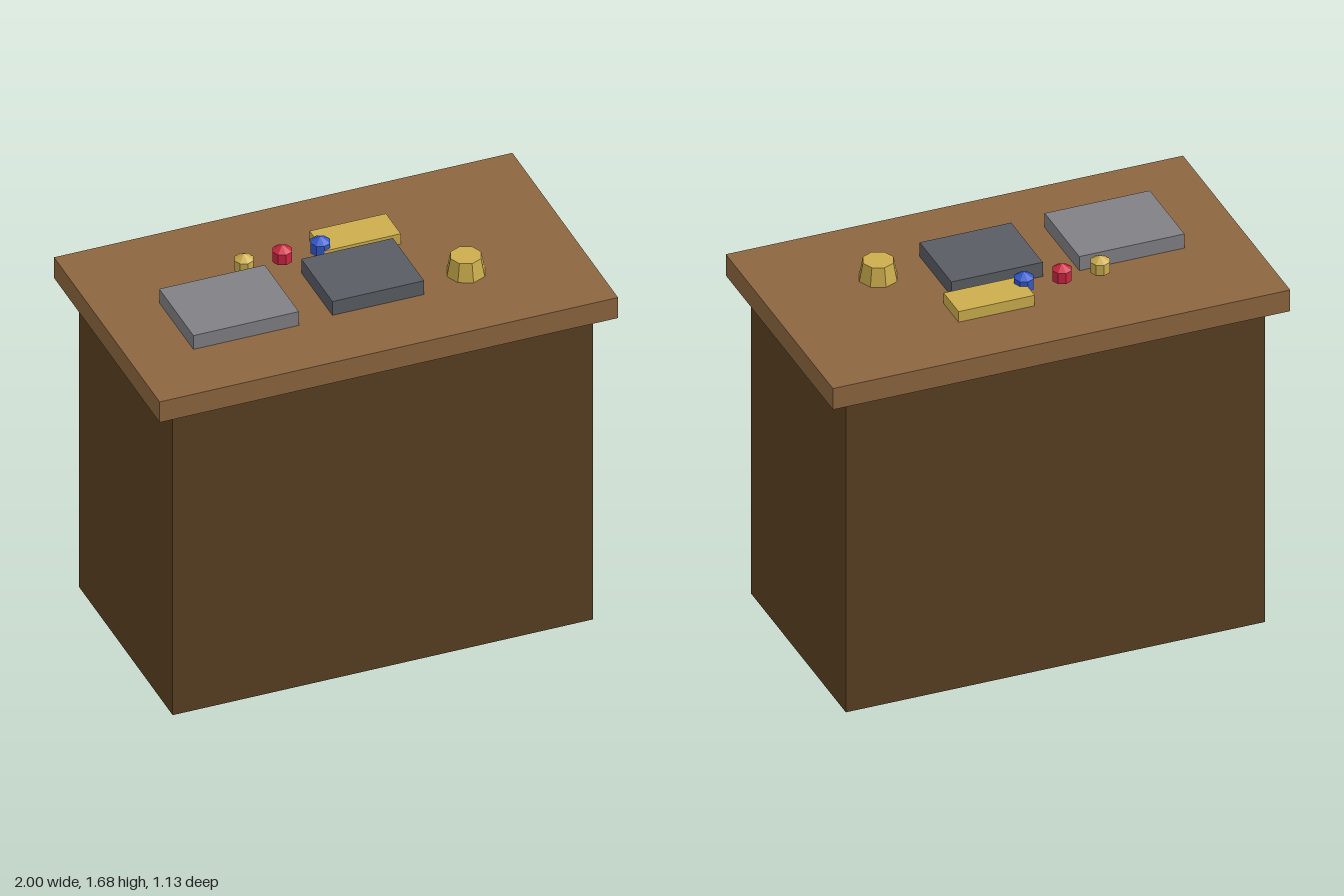
import * as THREE from 'three';

const paint = (name, color) => {
  const m = new THREE.MeshStandardMaterial({ color, flatShading: true });
  m.name = name;
  return m;
};

export function createModel() {
  const model = new THREE.Group();
  model.name = 'displayCounter';

  const darkWood = paint('darkWood', 0x594021);
  const lightWood = paint('lightWood', 0x8c6640);
  const lightGrey = paint('lightGrey', 0x808085);
  const darkGrey = paint('darkGrey', 0x595c63);
  const gold = paint('gold', 0xccad4d);
  const red = paint('red', 0xcc2640);
  const blue = paint('blue', 0x3359cc);

  const add = (name, geometry, material, x, y, z) => {
    const mesh = new THREE.Mesh(geometry, material);
    mesh.name = name;
    mesh.position.set(x, y, z);
    model.add(mesh);
  };
  // Box standing on height y
  const box = (name, material, w, h, d, x, y, z) =>
    add(name, new THREE.BoxGeometry(w, h, d), material, x, y + h / 2, z);

  const bodyTop = 1.487;
  const surface = 1.587;

  // Counter
  box('counterBody', darkWood, 1.833, bodyTop, 1, 0, 0, 0);
  box('counterTop', lightWood, 2, surface - bodyTop, 1.13, 0, bodyTop, 0);

  // Slabs and bar lying on the counter
  box('lightSlab', lightGrey, 0.46, 0.067, 0.365, -0.5, surface, 0.082);
  box('darkSlab', darkGrey, 0.4, 0.067, 0.333, 0.083, surface, 0.082);
  box('goldBar', gold, 0.333, 0.05, 0.158, 0.167, surface, -0.204);

  // Tapered eight-sided weight
  add('goldWeight', new THREE.CylinderGeometry(0.067, 0.083, 0.083, 8), gold, 0.5, surface + 0.0415, 0.163);

  // Row of faceted gems
  [['goldGem', gold], ['redGem', red], ['blueGem', blue]].forEach(([name, material], i) =>
    add(name, new THREE.SphereGeometry(0.049, 8, 3), material, -0.333 + i / 6, surface + 0.048, -0.168));

  return model;
}
